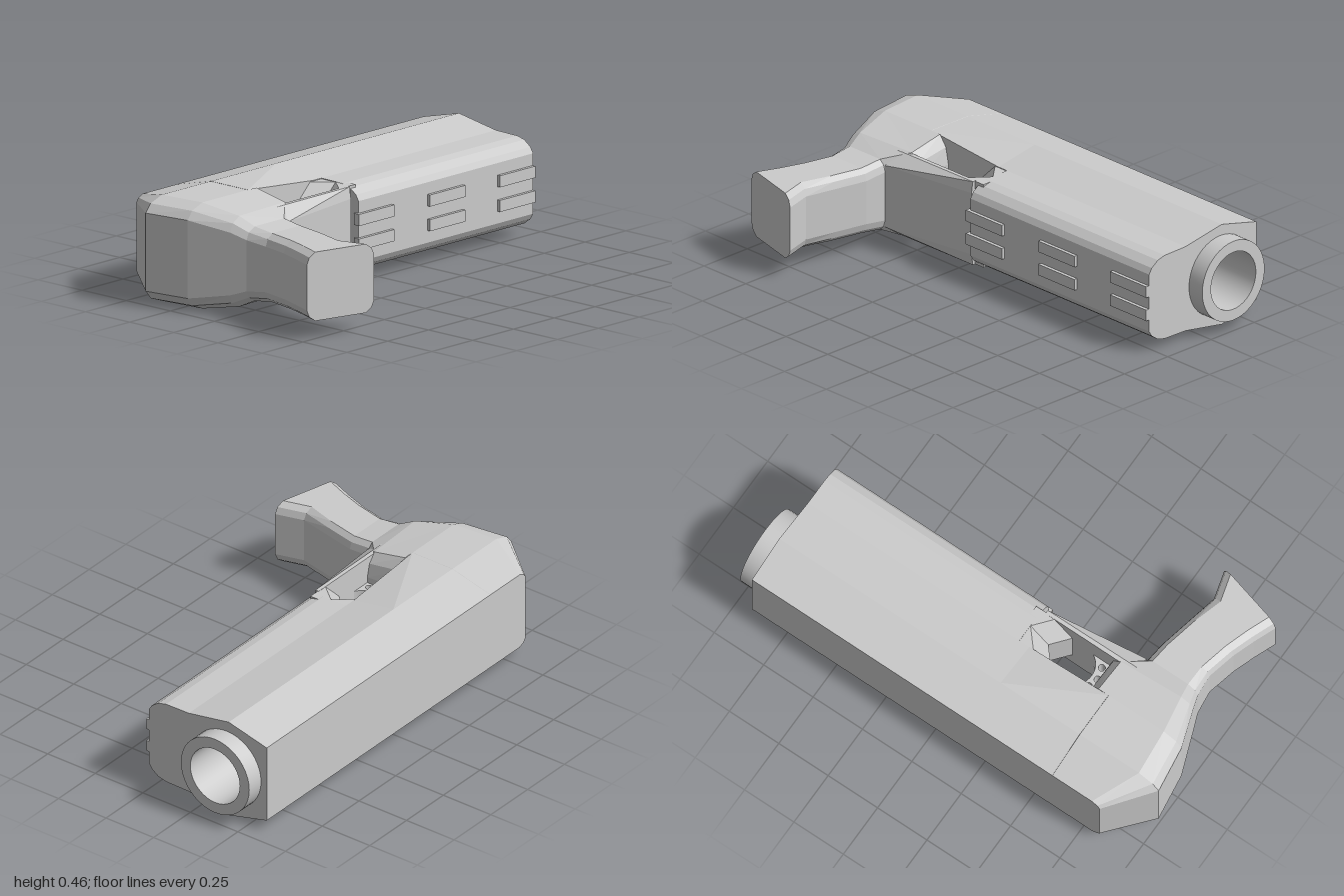
import * as THREE from 'three';
import { ConvexGeometry } from 'three/addons/geometries/ConvexGeometry.js';
import { toCreasedNormals } from 'three/addons/utils/BufferGeometryUtils.js';

const flat = new THREE.MeshStandardMaterial({ color: 0xcccccc, flatShading: true });
const smooth = new THREE.MeshStandardMaterial({ color: 0xcccccc, side: THREE.DoubleSide });

// Loft of chamfered sections running along z.
// Section: [backX, backZ, frontX, frontZ, halfHeight, backCutX, backCutY, frontCutX, frontCutY]
function loft(sections) {
  const n = 12, pos = [], idx = [];
  for (const [bx, bz, fx, fz, h, cb, yb, cf, yf] of sections) {
    const half = [
      [bx, h - yb], [bx + 0.3 * cb, h - 0.4 * yb], [bx + cb, h],
      [fx - cf, h], [fx - 0.3 * cf, h - 0.4 * yf], [fx, h - yf],
    ];
    const ring = [...half, ...half.map(([x, y]) => [x, -y]).reverse()];
    for (const [x, y] of ring) pos.push(x, y, bz + (fz - bz) * (x - bx) / (fx - bx));
  }
  const last = (sections.length - 1) * n;
  for (let r = 0; r < last; r += n) {
    for (let j = 0; j < n; j++) {
      const k = (j + 1) % n;
      idx.push(r + j, r + n + j, r + n + k, r + j, r + n + k, r + k);
    }
  }
  for (let j = 1; j < n - 1; j++) idx.push(0, j, j + 1, last, last + j + 1, last + j);
  const g = new THREE.BufferGeometry();
  g.setAttribute('position', new THREE.Float32BufferAttribute(pos, 3));
  g.setIndex(idx);
  const out = g.toNonIndexed();
  out.computeVertexNormals();
  return out;
}

// Convex block from [x, halfHeight, z] corners mirrored in y
const hull = (pts) => new ConvexGeometry(pts.flatMap(([x, y, z]) =>
  [new THREE.Vector3(x, y, z), new THREE.Vector3(x, -y, z)]));

// Prism along x from a [z, halfHeight] outline mirrored in y
function prism(outline, x0, x1, bore) {
  const pts = [...outline, ...outline.map(([z, h]) => [z, -h]).reverse()];
  const shape = new THREE.Shape(pts.map(([z, y]) => new THREE.Vector2(-z, y)));
  if (bore) shape.holes.push(new THREE.Path().absarc(0.38, 0, bore, 0, Math.PI * 2, true));
  return new THREE.ExtrudeGeometry(shape, { depth: x1 - x0, bevelEnabled: false, curveSegments: 16 })
    .rotateY(Math.PI / 2).translate(x0, 0, 0);
}

export function createModel() {
  const group = new THREE.Group();
  group.position.y = 0.228;
  const root = new THREE.Group();
  root.add(group);
  const add = (name, geometry, material = flat) => {
    const mesh = new THREE.Mesh(geometry, material);
    mesh.name = name;
    group.add(mesh);
    return mesh;
  };

  // Upper housing and fore-end
  add('upperHousing', prism([[-0.59, 0.178], [-0.39, 0.228], [-0.18, 0.192]], -0.6, 0.92, 0.155));
  add('foreEnd', prism([[-0.18, 0.192], [-0.06, 0.19], [-0.02, 0.18], [0.015, 0.155], [0.03, 0.13]], -0.15, 0.92));

  // Rear of the housing, widened sides tapering forward
  add('rearHousing', loft([
    [-0.84, -0.59, -0.6, -0.59, 0.178, 0.04, 0.03, 0.002, 0.002],
    [-1, -0.39, -0.6, -0.39, 0.228, 0.1, 0.06, 0.002, 0.002],
    [-0.97, -0.18, -0.6, -0.18, 0.228, 0.09, 0.06, 0.002, 0.002],
  ]));
  add('sideFlare', hull([[-0.6, 0.228, -0.39], [-0.6, 0.228, -0.18], [-0.2, 0.192, -0.18], [-0.2, 0.228, -0.39]]));

  // Frame and curved grip
  add('grip', loft([
    [-0.97, -0.18, -0.5, -0.18, 0.228, 0.09, 0.06, 0.05, 0.12],
    [-0.905, 0, -0.5, -0.02, 0.195, 0.06, 0.06, 0.05, 0.1],
    [-0.88, 0.07, -0.62, 0.07, 0.16, 0.05, 0.05, 0.03, 0.05],
    [-0.87, 0.17, -0.628, 0.17, 0.148, 0.04, 0.05, 0.03, 0.05],
    [-0.9, 0.3, -0.66, 0.32, 0.148, 0.04, 0.05, 0.03, 0.05],
    [-0.935, 0.4, -0.69, 0.46, 0.148, 0.04, 0.05, 0.04, 0.05],
    [-0.975, 0.5, -0.655, 0.585, 0.148, 0.04, 0.05, 0.04, 0.05],
  ]));

  // Trigger guard strap and the V-shaped front of its opening
  add('triggerGuard', hull([
    [-0.62, 0.19, -0.02], [-0.62, 0.19, 0], [-0.62, 0.14, 0.07],
    [-0.17, 0.19, -0.02], [-0.17, 0.19, -0.003], [-0.17, 0.14, 0.005],
  ]));
  for (const [z, name] of [[-0.18, 'upperGuardWedge'], [-0.015, 'lowerGuardWedge']]) {
    add(name, hull([
      [-0.22, 0.189, z], [-0.15, 0.189, -0.1], [-0.31, 0.1, z],
      [-0.24, 0.1, -0.1], [-0.12, 0.189, z], [-0.12, 0.189, -0.1],
    ]));
  }

  // Trigger plate with a concave front and three holes
  const plate = new THREE.Shape();
  plate.moveTo(-0.53, 0.01);
  plate.lineTo(-0.41, 0.01);
  plate.absarc(-0.37, 0.1, 0.09, Math.PI * 1.36, Math.PI * 0.64, true);
  plate.lineTo(-0.41, 0.185);
  plate.lineTo(-0.53, 0.185);
  for (const [x, v] of [[-0.475, 0.145], [-0.49, 0.1], [-0.475, 0.048]]) {
    plate.holes.push(new THREE.Path().absarc(x, v, 0.015, 0, Math.PI * 2, true));
  }
  add('trigger', new THREE.ExtrudeGeometry(plate, { depth: 0.14, bevelEnabled: false })
    .rotateX(-Math.PI / 2).translate(0, -0.07, 0));

  // Raised ribs under the fore-end
  for (const x of [-0.055, 0.38, 0.81]) {
    for (const y of [-0.053, 0.053]) {
      add('rib', new THREE.BoxGeometry(0.216, 0.05, 0.03)).position.set(x, y, 0.03);
    }
  }

  // Hollow barrel
  const profile = [[0, -0.1], [0.13, -0.1], [0.13, 1], [0.18, 1], [0.18, 0.9]]
    .map(([r, x]) => new THREE.Vector2(r, x));
  const barrel = new THREE.LatheGeometry(profile, 40).rotateZ(-Math.PI / 2).translate(0, 0, -0.38);
  add('barrel', toCreasedNormals(barrel, 0.6), smooth);

  return root;
}
